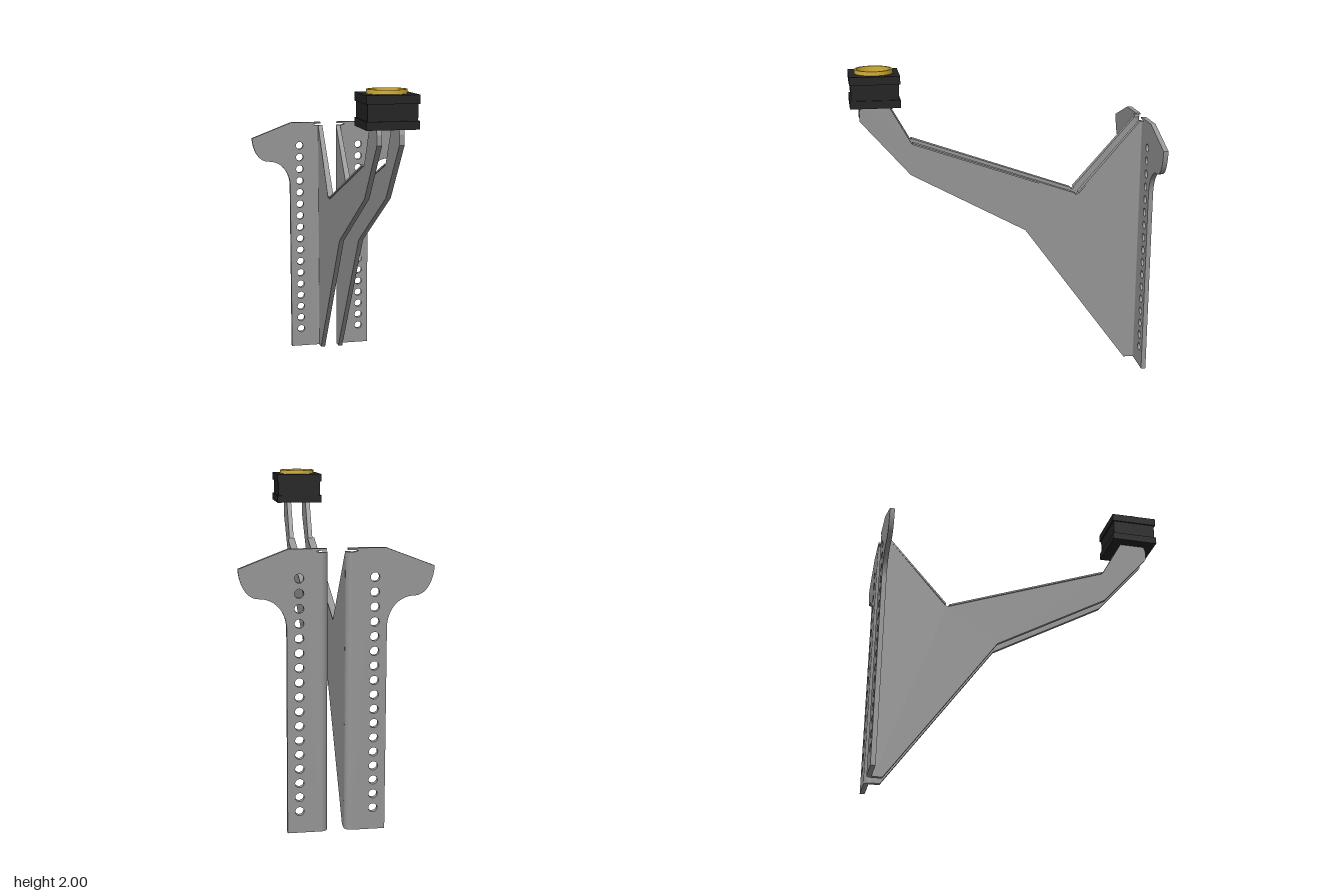
import * as THREE from 'three';
import { toCreasedNormals } from 'three/addons/utils/BufferGeometryUtils.js';

const steel = new THREE.MeshStandardMaterial({ color: 0x969696 });
const black = new THREE.MeshStandardMaterial({ color: 0x222222 });
const gold = new THREE.MeshStandardMaterial({ color: 0xd4af37 });
const pink = new THREE.MeshStandardMaterial({ color: 0xf8c8e6 });

const CREASE = 0.25;

const polygon = (pts) => new THREE.Shape(pts.map(([a, b]) => new THREE.Vector2(a, b)));
const extrude = (shape, depth) =>
  new THREE.ExtrudeGeometry(shape, { depth, bevelEnabled: false, curveSegments: 18 });

function circleHole(shape, x, y, r) {
  const hole = new THREE.Path();
  hole.absarc(x, y, r, 0, Math.PI * 2, true);
  shape.holes.push(hole);
}

function part(parent, name, geometry, material) {
  const mesh = new THREE.Mesh(toCreasedNormals(geometry, CREASE), material);
  mesh.name = name;
  parent.add(mesh);
  return mesh;
}

// Reflect an extruded geometry in x and restore the winding of its triangles
function mirrorX(geometry) {
  const g = geometry.clone().scale(-1, 1, 1);
  const p = g.attributes.position;
  const a = new THREE.Vector3(), b = new THREE.Vector3();
  for (let i = 0; i < p.count; i += 3) {
    a.fromBufferAttribute(p, i + 1);
    b.fromBufferAttribute(p, i + 2);
    p.setXYZ(i + 1, b.x, b.y, b.z);
    p.setXYZ(i + 2, a.x, a.y, a.z);
  }
  return g;
}

// Side plate with the cranked arm, outline given as z, y
function webGeometry() {
  const outline = polygon([
    [-0.895, 0], [-0.84, 0], [-0.155, 0.94], [0.575, 1.34], [0.88, 1.69],
    [0.88, 1.75], [0.865, 1.79], [0.705, 1.79], [0.565, 1.54], [-0.49, 1.165], [-0.9, 1.632],
  ]);
  return extrude(outline, 0.03).rotateY(-Math.PI / 2).translate(0.08, 0, 0);
}

// Rounded fold joining side plate and mounting flange
function bendGeometry() {
  const s = new THREE.Shape();
  s.moveTo(0.05, 0.895);
  s.absarc(0.09, 0.895, 0.04, Math.PI, Math.PI / 2, true);
  s.lineTo(0.09, 0.905);
  s.absarc(0.09, 0.895, 0.01, Math.PI / 2, Math.PI, false);
  return extrude(s, 1.632).rotateX(-Math.PI / 2);
}

// Mounting flange with curved ear, relief slot and a row of holes
function flangeGeometry() {
  const s = new THREE.Shape();
  s.moveTo(0.09, 0);
  s.lineTo(0.285, 0);
  s.lineTo(0.285, 1.2);
  s.bezierCurveTo(0.285, 1.3, 0.35, 1.38, 0.44, 1.38);
  s.bezierCurveTo(0.51, 1.38, 0.55, 1.46, 0.555, 1.548);
  s.lineTo(0.275, 1.655);
  s.lineTo(0.06, 1.655);
  s.lineTo(0.06, 1.645);
  s.lineTo(0.115, 1.642);
  s.lineTo(0.115, 1.637);
  s.lineTo(0.09, 1.632);
  for (let i = 0; i < 17; i++) circleHole(s, 0.215, 0.13 + i * 0.085, 0.026);
  return extrude(s, 0.03).translate(0, 0, -0.935);
}

// Thin strip capping an edge from a to b (z, y), with its x range at each end
function lipGeometry(a, b, xa, xb) {
  const start = new THREE.Vector3(0, a[1], a[0]);
  const along = new THREE.Vector3(0, b[1], b[0]).sub(start);
  const length = along.length();
  along.normalize();
  const xAxis = new THREE.Vector3(1, 0, 0);
  const normal = new THREE.Vector3().crossVectors(xAxis, along);
  const strip = extrude(polygon([[xa[0], 0], [xa[1], 0], [xb[1], length], [xb[0], length]]), 0.01);
  strip.translate(0, 0, -0.005);
  const m = new THREE.Matrix4().makeBasis(xAxis, along, normal).setPosition(start);
  return strip.applyMatrix4(m);
}

// Square housing layer, bored through when a radius is given
function layerGeometry(half, y0, y1, bore) {
  const s = polygon([[-half, -half], [half, -half], [half, half], [-half, half]]);
  if (bore) circleHole(s, 0, 0, bore);
  return extrude(s, y1 - y0).rotateX(-Math.PI / 2).translate(0, y0, 0);
}

export function createModel() {
  const model = new THREE.Group();
  model.name = 'bracket';

  // Two mirrored bracket halves
  const pieces = {
    sidePlate: webGeometry(),
    fold: bendGeometry(),
    mountingFlange: flangeGeometry(),
    armLip: lipGeometry([0.56, 1.54], [-0.476, 1.172], [0.045, 0.092], [0.048, 0.088]),
    braceLip: lipGeometry([-0.5, 1.178], [-0.897, 1.63], [0.05, 0.09], [0.05, 0.08]),
  };
  for (const side of ['left', 'right']) {
    const half = new THREE.Group();
    half.name = side + 'Bracket';
    for (const [name, geometry] of Object.entries(pieces)) {
      part(half, name, side === 'left' ? geometry : mirrorX(geometry), steel);
    }
    model.add(half);
  }

  // Layered square housing at the end of the arms
  const head = new THREE.Group();
  head.name = 'head';
  head.position.z = 0.783;
  part(head, 'housingBase', layerGeometry(0.153, 1.782, 1.83), black);
  part(head, 'housingMiddle', layerGeometry(0.144, 1.83, 1.925, 0.116), black);
  part(head, 'housingTop', layerGeometry(0.153, 1.925, 1.975, 0.116), black);

  // Gold sleeve lining the bore, with a pink disc on its floor
  const sleeve = [[0.103, 1.831], [0.117, 1.831], [0.117, 2], [0.103, 2], [0.103, 1.831]]
    .map(([r, y]) => new THREE.Vector2(r, y));
  part(head, 'sleeve', new THREE.LatheGeometry(sleeve, 48), gold);
  const disc = part(head, 'disc', new THREE.CylinderGeometry(0.06, 0.06, 0.01, 40), pink);
  disc.position.y = 1.834;
  model.add(head);

  return model;
}
